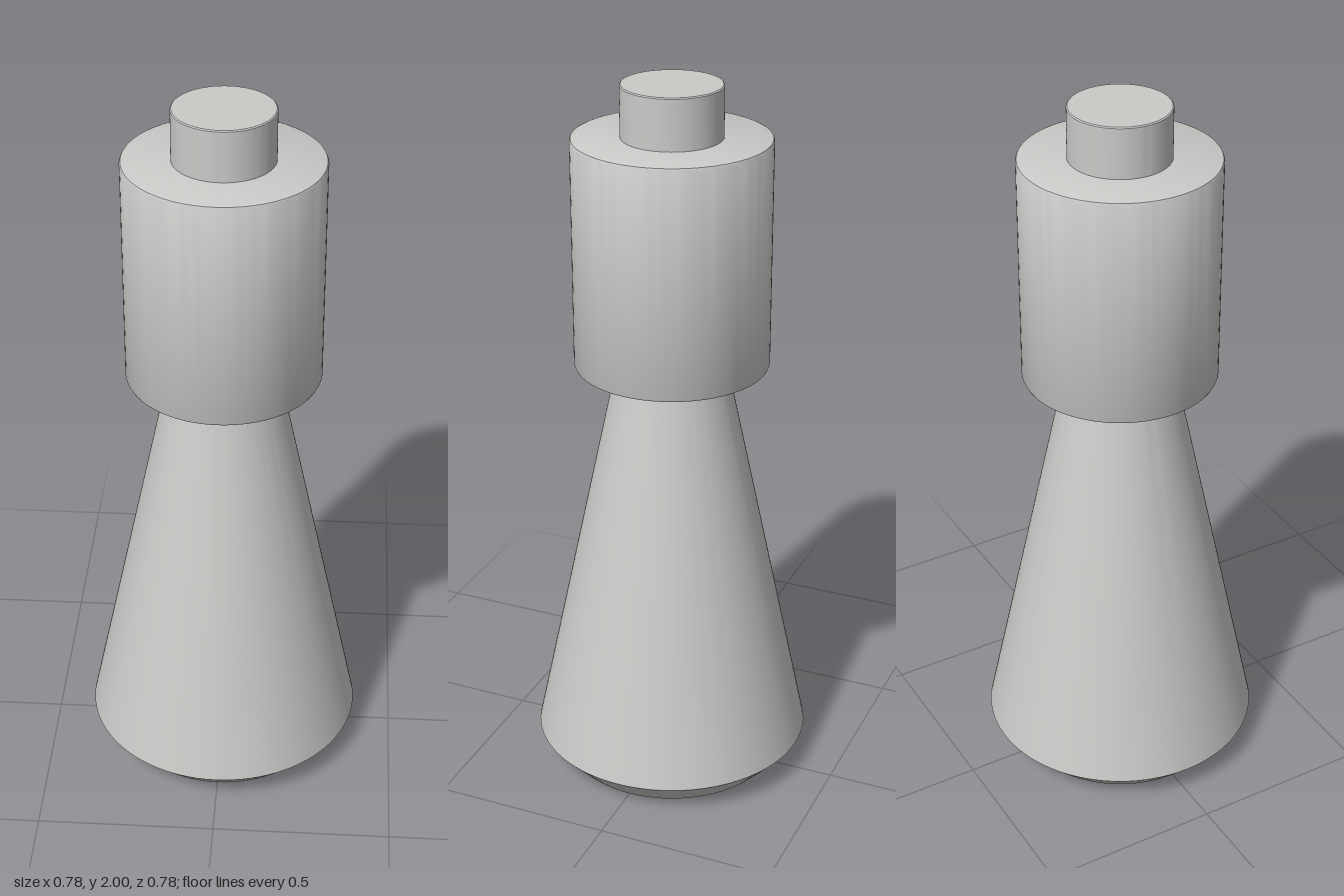
import * as THREE from 'three';
import { toCreasedNormals } from 'three/addons/utils/BufferGeometryUtils.js';

const SEGMENTS = 96;

// Turned part from [radius, height] pairs, listed from bottom to top
function turned(name, profile, material) {
  const points = profile.map(([r, y]) => new THREE.Vector2(r, y));
  const geometry = toCreasedNormals(new THREE.LatheGeometry(points, SEGMENTS), 0.5);
  const mesh = new THREE.Mesh(geometry, material);
  mesh.name = name;
  return mesh;
}

export function createModel() {
  const grey = new THREE.MeshStandardMaterial({ color: 0xcccac7 });
  grey.name = 'light grey';

  const group = new THREE.Group();
  group.name = 'turnedPiece';

  // Tapered body with a chamfered foot
  group.add(turned('taperedBody', [
    [0, 0], [0.31, 0], [0.39, 0.085], [0.15, 1.225], [0, 1.225],
  ], grey));

  // Wide collar with slightly softened rims
  group.add(turned('collar', [
    [0, 1.222], [0.259, 1.222], [0.264, 1.224], [0.267, 1.23],
    [0.267, 1.852], [0.264, 1.858], [0.259, 1.86], [0, 1.86],
  ], grey));

  // Short peg on top
  group.add(turned('topPeg', [
    [0, 1.85], [0.136, 1.85], [0.136, 1.997], [0.133, 2], [0, 2],
  ], grey));

  return group;
}
